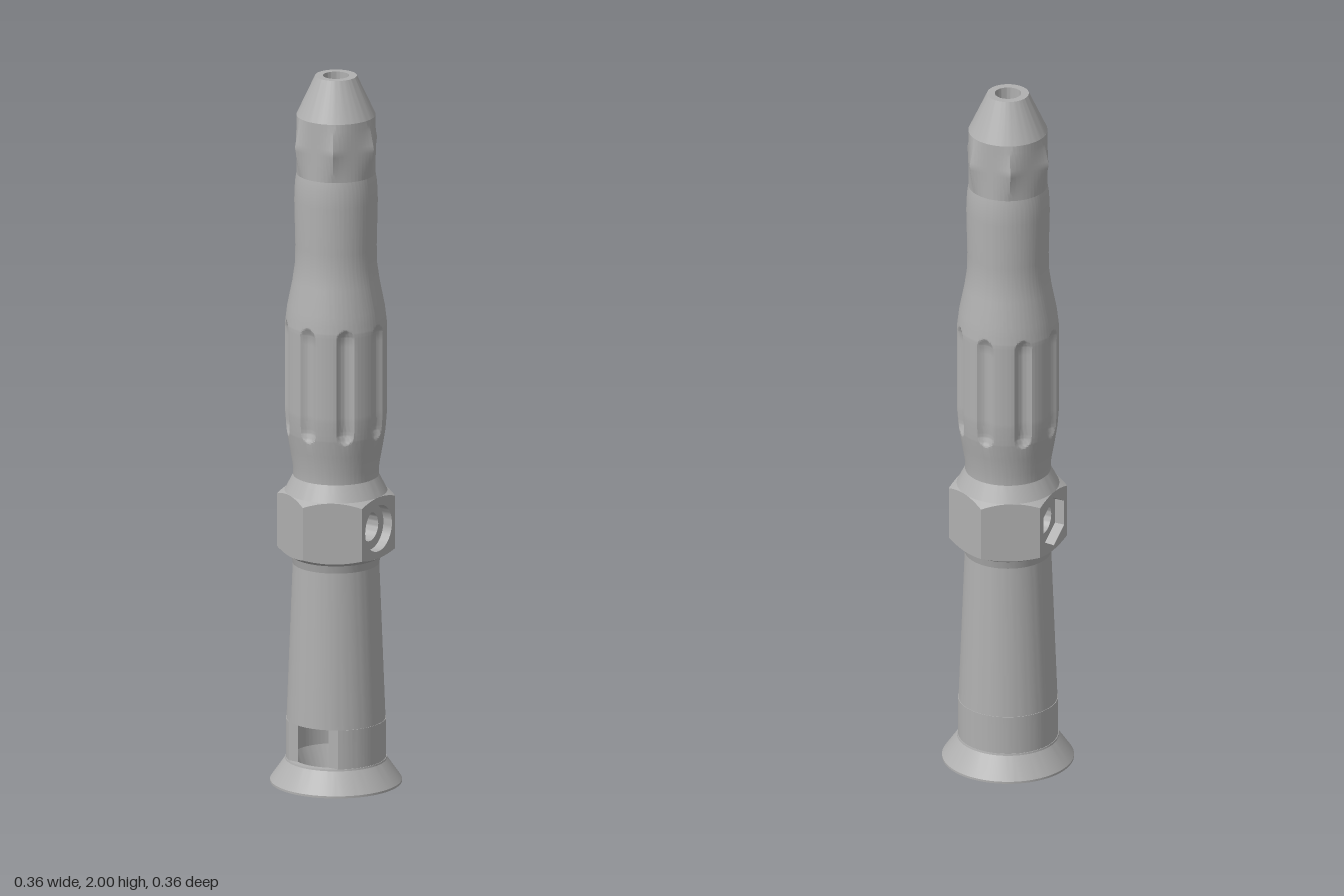
import * as THREE from 'three';
import { toCreasedNormals } from 'three/addons/utils/BufferGeometryUtils.js';

const TAU = Math.PI * 2;
const APOTHEM = 0.14;   // hex collar, centre to flat
const PORT_Y = 0.737;   // height of the cross hole

// Radius of a regular hexagon at angle t (corner at t = 0)
const hexRadius = (t, apothem) => {
  const s = Math.PI / 3;
  return apothem / Math.cos((((t % s) + s) % s) - s / 2);
};

// Skin over horizontal rings; f(row, angle) gives [radius, height], rows go upward
function ringSurface(rows, n, f) {
  const pos = [], idx = [];
  rows.forEach((row, j) => {
    for (let i = 0; i < n; i++) {
      const t = (i / n) * TAU, [r, y] = f(row, t);
      pos.push(r * Math.sin(t), y, r * Math.cos(t));
      if (j === rows.length - 1) continue;
      const a = j * n + i, b = j * n + ((i + 1) % n);
      idx.push(a, b, a + n, b + n, a + n, b);
    }
  });
  const g = new THREE.BufferGeometry();
  g.setAttribute('position', new THREE.Float32BufferAttribute(pos, 3));
  g.setIndex(idx);
  return toCreasedNormals(g, 0.35);
}

const lathe = (pts) => toCreasedNormals(
  new THREE.LatheGeometry(pts.map(([r, y]) => new THREE.Vector2(r, y)), 96), 0.35);

// Regular polygon outline, corner at the top
const polygon = (Type, r, n, cy = 0) => new Type(Array.from({ length: n }, (_, i) =>
  new THREE.Vector2(r * Math.sin((i / n) * TAU), cy + r * Math.cos((i / n) * TAU))));

// Grip profile: [height, radius]
const GRIP = [[0.87, 0.117], [0.9, 0.118], [0.95, 0.127], [1.0, 0.135], [1.05, 0.139], [1.3, 0.139],
  [1.35, 0.133], [1.42, 0.119], [1.47, 0.112], [1.52, 0.111], [1.65, 0.114], [1.7, 0.112], [1.725, 0.108]];

function gripRadius(y) {
  const k = Math.max(1, GRIP.findIndex(([h]) => h >= y - 1e-6));
  const [y0, r0] = GRIP[k - 1], [y1, r1] = GRIP[k];
  return r0 + (r1 - r0) * (y - y0) / (y1 - y0);
}

// Depth of the eight rounded flutes
function fluteDepth(t, y) {
  const s = Math.PI / 4;
  const u = (t - Math.round(t / s) * s) / 0.187;
  const e = Math.max(0, Math.abs(y - 1.15) - 0.13) / 0.033;
  return 0.014 * Math.max(0, 1 - u * u - e * e);
}

export function createModel() {
  const model = new THREE.Group();
  const grey = new THREE.MeshStandardMaterial({ color: 0xb0b0b0, side: THREE.DoubleSide });
  grey.name = 'plain grey';
  const add = (name, geometry, parent = model) => {
    const m = new THREE.Mesh(geometry, grey);
    m.name = name;
    parent.add(m);
    return m;
  };

  // Flared foot with its opening
  add('flaredFoot', lathe([[0.095, 0], [0.18, 0], [0.18, 0.006], [0.139, 0.065], [0.138, 0.07],
    [0.121, 0.07], [0.095, 0]]));

  // Wall beside the front window, cut flat at z = 0.11
  const cut = (r) => Math.asin(0.11 / r);
  const wall = new THREE.Shape();
  wall.absarc(0, 0, 0.1365, -cut(0.1365), Math.PI + cut(0.1365), false);
  wall.absarc(0, 0, 0.121, Math.PI + cut(0.121), -cut(0.121), true);
  const wallGeo = new THREE.ExtrudeGeometry(wall, { depth: 0.11, bevelEnabled: false, curveSegments: 64 });
  wallGeo.rotateX(-Math.PI / 2).translate(0, 0.07, 0);
  add('windowWall', toCreasedNormals(wallGeo, 0.35));

  // Tapered lower tube, hollow
  add('lowerTube', lathe([[0.121, 0.18], [0.135, 0.18], [0.118, 0.62]]));
  add('lowerBore', lathe([[0.05, 0.79], [0.05, 0.78]].concat([])));
  add('lowerBoreWall', lathe([[0.05, 0.68], [0.1, 0.6], [0.121, 0.18]]));

  // Hex collar: six flats with arched edges, two of them bored
  const collar = new THREE.Group();
  collar.name = 'hexCollar';
  model.add(collar);
  const topEdge = (r) => 0.825 - 0.65 * (r - APOTHEM);
  const lowEdge = (r) => 0.652 + 0.45 * (r - APOTHEM);
  const half = APOTHEM * Math.tan(Math.PI / 6);
  for (let k = 0; k < 6; k++) {
    const low = [], top = [];
    for (let i = 0; i <= 16; i++) {
      const x = half * (i / 8 - 1), r = Math.hypot(x, APOTHEM);
      low.push(new THREE.Vector2(x, lowEdge(r)));
      top.unshift(new THREE.Vector2(x, topEdge(r)));
    }
    const flat = new THREE.Shape([...low, ...top]);
    if (k === 0) flat.holes.push(polygon(THREE.Path, 0.065, 48, PORT_Y));
    if (k === 3) flat.holes.push(polygon(THREE.Path, 0.072, 6, PORT_Y));
    const g = new THREE.ShapeGeometry(flat);
    g.translate(0, 0, APOTHEM).rotateY(Math.PI / 2 + k * Math.PI / 3);
    add('collarFlat', g, collar);
  }
  add('collarTopChamfer', ringSurface([0, 1, 2], 96, (row, t) => {
    const r = hexRadius(t, APOTHEM);
    return [[r, topEdge(r)], [APOTHEM, 0.825], [0.117, 0.87]][row];
  }), collar);
  add('collarLowChamfer', ringSurface([0, 1, 2, 3], 96, (row, t) => {
    const r = hexRadius(t, APOTHEM);
    return [[0.118, 0.62], [0.123, 0.642], [APOTHEM, 0.652], [r, lowEdge(r)]][row];
  }), collar);

  // Cross hole: round recess on the left, six-sided recess on the right
  for (const [name, r, sides, turn] of [['roundPort', 0.065, 48, 1], ['hexPort', 0.072, 6, -1]]) {
    const port = new THREE.Group();
    port.name = name;
    port.position.y = PORT_Y;
    port.rotation.y = turn * Math.PI / 2;
    model.add(port);
    const pipe = (radius, n, z0, z1) => toCreasedNormals(
      new THREE.CylinderGeometry(radius, radius, z1 - z0, n, 1, true)
        .rotateX(Math.PI / 2).translate(0, 0, (z0 + z1) / 2), 0.35);
    add('recessWall', pipe(r, sides, 0.112, APOTHEM), port);
    const floor = polygon(THREE.Shape, r, sides);
    floor.holes.push(polygon(THREE.Path, 0.04, 48));
    add('recessFloor', new THREE.ShapeGeometry(floor).translate(0, 0, 0.112), port);
    add('throughHole', pipe(0.04, 48, 0.04, 0.112), port);
  }
  // Bore walls left standing between the two ports
  for (const start of [0, Math.PI]) {
    add('boreSide', new THREE.CylinderGeometry(0.05, 0.05, 0.11, 16, 1, true, start - 0.64, 1.28)
      .translate(0, 0.735, 0));
  }

  // Fluted grip
  const rows = GRIP.map(([y]) => y);
  for (let y = 0.985; y < 1.32; y += (y < 1.02 || y > 1.275) ? 0.005 : 0.02) rows.push(y);
  rows.sort((a, b) => a - b);
  const gripRows = rows.filter((y, i) => i === 0 || y - rows[i - 1] > 0.001);
  add('flutedGrip', ringSurface(gripRows, 240, (y, t) => [gripRadius(y) - fluteDepth(t, y), y]));

  // Faceted head: circle to hexagon and back to circle
  const headRows = [];
  for (let i = 0; i <= 8; i++) headRows.push([1.725 + 0.085 * i / 8, i / 8]);
  for (let i = 7; i >= 0; i--) headRows.push([1.89 - 0.08 * i / 8, i / 8]);
  headRows.sort((a, b) => a[0] - b[0]);
  add('facetedHead', ringSurface(headRows, 240, ([y, k], t) =>
    [0.108 + (hexRadius(t + Math.PI / 6, 0.108) - 0.108) * k, y]));

  // Conical tip and the narrow upper bore
  add('conicalTip', lathe([[0.108, 1.89], [0.057, 2], [0.036, 2], [0.035, 1.9], [0.035, 0.85], [0.05, 0.79]]));
  return model;
}
